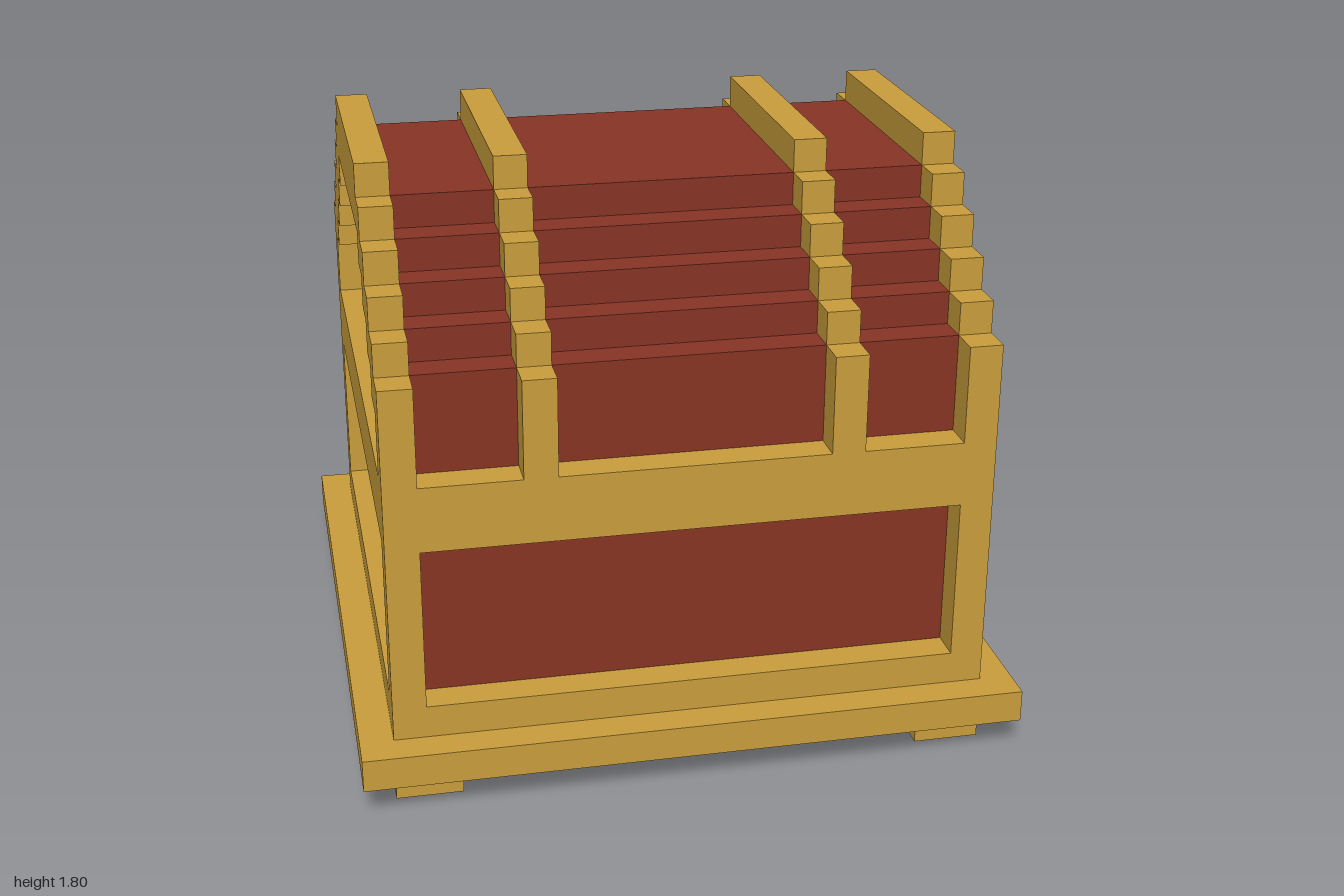
import * as THREE from 'three';

const gold = new THREE.MeshStandardMaterial({ color: 0xc99d3b });
gold.name = 'gold';
const red = new THREE.MeshStandardMaterial({ color: 0x873424 });
red.name = 'red wood';

// Box given by its lower and upper corners
function box(name, mat, [x0, y0, z0], [x1, y1, z1]) {
  const m = new THREE.Mesh(new THREE.BoxGeometry(x1 - x0, y1 - y0, z1 - z0), mat);
  m.position.set((x0 + x1) / 2, (y0 + y1) / 2, (z0 + z1) / 2);
  m.name = name;
  return m;
}

// Symmetric stepped dome: upright to (half, shoulder), then 0.1 steps up and in
function stepped(half, base, shoulder, steps) {
  const side = [[half, base], [half, shoulder]];
  for (let i = 1; i <= steps; i++) {
    const z = half - i * 0.1, y = shoulder + i * 0.1;
    side.push([z, y - 0.1], [z, y]);
  }
  const other = side.map(([z, y]) => [-z, y]).reverse();
  return [...side, ...other].map(([z, y]) => new THREE.Vector2(z, y));
}

function rect(w0, h0, w1, h1) {
  return [[w0, h0], [w1, h0], [w1, h1], [w0, h1]].map(([a, b]) => new THREE.Vector2(a, b));
}

function extrude(outline, holes, depth) {
  const shape = new THREE.Shape(outline);
  holes.forEach((h) => shape.holes.push(new THREE.Path(h)));
  return new THREE.ExtrudeGeometry(shape, { depth, bevelEnabled: false });
}

// Side profile extruded along x, from x0 to x1
function slice(name, mat, outline, holes, x0, x1) {
  const geo = extrude(outline, holes, x1 - x0);
  geo.rotateY(Math.PI / 2);
  geo.translate(x0, 0, 0);
  const m = new THREE.Mesh(geo, mat);
  m.name = name;
  return m;
}

export function createModel() {
  const chest = new THREE.Group();
  chest.name = 'chest';

  // Base border around the red floor
  const baseGeo = extrude(rect(-1, -1, 1, 1), [rect(-0.8, -0.8, 0.8, 0.8)], 0.1);
  baseGeo.rotateX(-Math.PI / 2);
  baseGeo.translate(0, 0.1, 0);
  const base = new THREE.Mesh(baseGeo, gold);
  base.name = 'baseBorder';
  chest.add(base);

  // Feet
  for (const x of [-0.8, 0.8]) {
    for (const z of [-0.8, 0.8]) {
      chest.add(box('foot', gold, [x - 0.1, 0, z - 0.1], [x + 0.1, 0.1, z + 0.1]));
    }
  }

  // Red body and lid
  chest.add(slice('body', red, stepped(0.8, 0.1, 1.3, 4), [], -0.8, 0.8));

  // End frames with lower panel and arched lid openings
  const outer = stepped(0.9, 0.2, 1.3, 5);
  const openings = [rect(-0.8, 0.3, 0.8, 0.8), stepped(0.8, 1, 1.2, 4)];
  for (const x of [-0.9, 0.8]) {
    chest.add(slice('endFrame', gold, outer, openings, x, x + 0.1));
  }

  // Bands over the lid
  for (const x of [-0.5, 0.4]) {
    chest.add(slice('lidBand', gold, stepped(0.9, 1, 1.3, 5), [], x, x + 0.1));
  }

  // Lower rails, front and back
  for (const z of [-0.9, 0.8]) {
    chest.add(box('lowerRail', gold, [-0.8, 0.2, z], [0.8, 0.3, z + 0.1]));
  }

  // Middle rails; the back one is interrupted by the clasp
  chest.add(box('frontRail', gold, [-0.8, 0.8, 0.8], [0.8, 1, 0.9]));
  for (const x of [-0.8, 0.2]) {
    chest.add(box('backRail', gold, [x, 0.8, -0.9], [x + 0.6, 1, -0.8]));
  }

  // Small corner blocks on the back
  for (const x of [-0.8, 0.7]) {
    chest.add(box('cornerBlock', gold, [x, 0.3, -0.9], [x + 0.1, 0.4, -0.8]));
  }

  // Square clasp with red centre
  const claspGeo = extrude(rect(-0.2, 0.7, 0.2, 1.1), [rect(-0.1, 0.8, 0.1, 1)], 0.2);
  claspGeo.translate(0, 0, -1);
  const clasp = new THREE.Mesh(claspGeo, gold);
  clasp.name = 'clasp';
  chest.add(clasp);
  chest.add(box('claspCentre', red, [-0.1, 0.8, -0.9], [0.1, 1, -0.8]));

  return chest;
}
